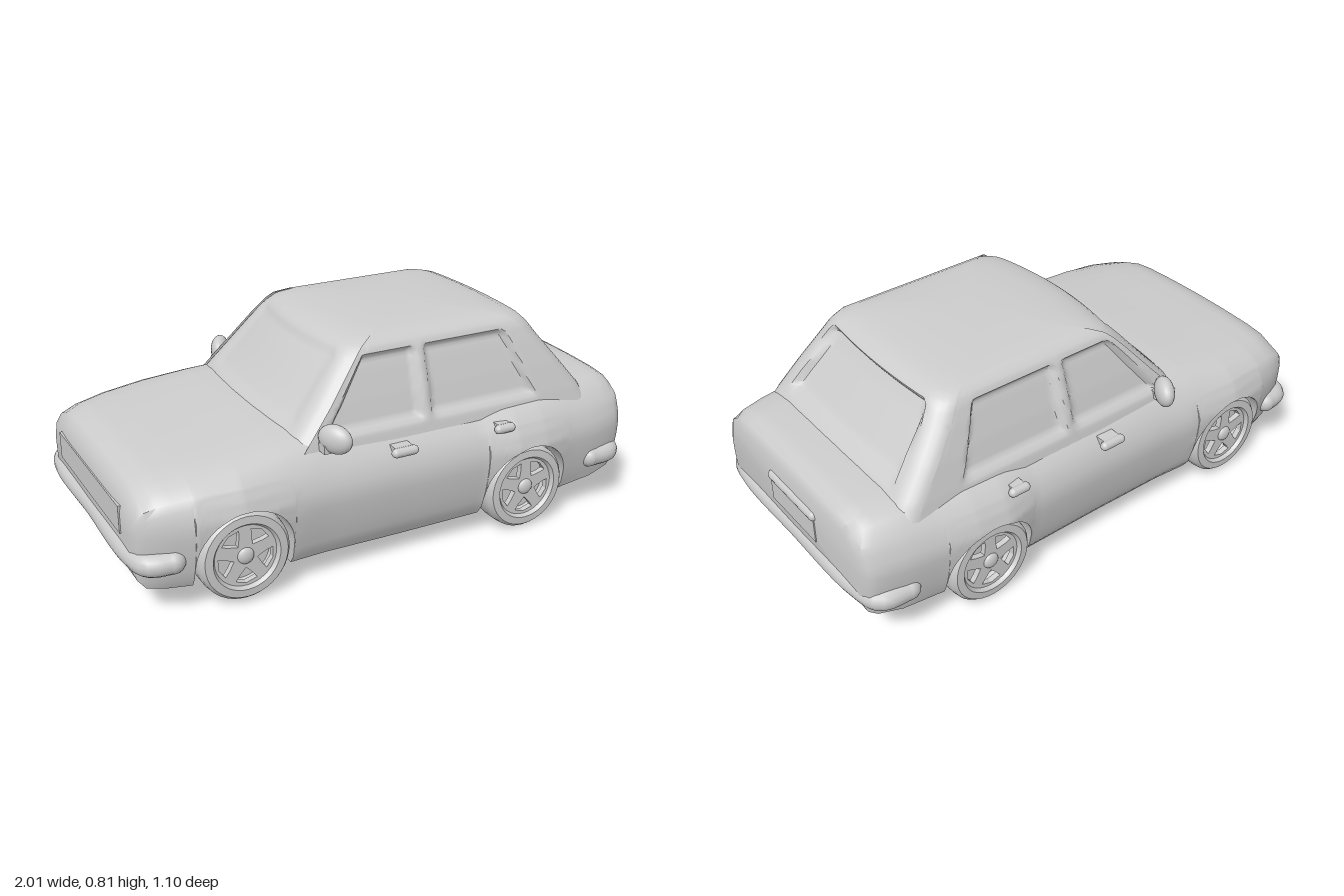
import * as THREE from 'three';
import { toCreasedNormals } from 'three/addons/utils/BufferGeometryUtils.js';

const mat = new THREE.MeshStandardMaterial({ color: 0xcccccc });
const FRONT = { x: -0.615, y: 0.18 }, REAR = { x: 0.515, y: 0.168 };
const ARCH = 0.176;

// Piecewise-linear lookup: rows of [key, value, value...]
function table(rows, k, col = 1) {
  let i = 0;
  while (i < rows.length - 2 && k > rows[i + 1][0]) i++;
  const a = rows[i], b = rows[i + 1];
  const t = THREE.MathUtils.clamp((k - a[0]) / (b[0] - a[0]), 0, 1);
  return a[col] + (b[col] - a[col]) * t;
}

// Skin closed rings of [x, y, z] and cap both ends
function loft(rings, crease) {
  const n = rings[0].length, pos = rings.flat(2), idx = [];
  for (let i = 0; i < rings.length - 1; i++) for (let j = 0; j < n; j++) {
    const a = i * n + j, b = i * n + (j + 1) % n;
    idx.push(a, b, a + n, b, b + n, a + n);
  }
  [0, rings.length - 1].forEach((r, end) => {
    const c = pos.length / 3;
    for (let k = 0; k < 3; k++) pos.push(rings[r].reduce((s, p) => s + p[k], 0) / n);
    for (let j = 0; j < n; j++) {
      const a = r * n + j, b = r * n + (j + 1) % n;
      idx.push(c, ...(end ? [a, b] : [b, a]));
    }
  });
  const g = new THREE.BufferGeometry();
  g.setAttribute('position', new THREE.Float32BufferAttribute(pos, 3));
  g.setIndex(idx);
  return toCreasedNormals(g, crease);
}

// Body stations: x, half width, top, floor
const BODY = [
  [-0.98, 0.41, 0.38, 0.18], [-0.965, 0.45, 0.425, 0.14], [-0.94, 0.47, 0.455, 0.11], [-0.88, 0.495, 0.475, 0.1],
  [-0.78, 0.525, 0.487, 0.1], [-0.62, 0.545, 0.502, 0.09], [-0.45, 0.53, 0.52, 0.09], [-0.3, 0.518, 0.53, 0.085],
  [0, 0.515, 0.52, 0.075], [0.33, 0.52, 0.51, 0.08], [0.45, 0.546, 0.51, 0.09], [0.58, 0.54, 0.515, 0.1],
  [0.72, 0.515, 0.52, 0.11], [0.85, 0.5, 0.517, 0.12], [0.94, 0.48, 0.51, 0.14], [0.97, 0.465, 0.495, 0.16], [0.985, 0.43, 0.46, 0.2],
];
// Side profile: height, share of the half width
const SIDE = [[0.07, 0.86], [0.12, 0.93], [0.2, 0.97], [0.28, 0.995], [0.34, 1], [0.39, 0.97], [0.44, 0.92]];

function bodySection(x) {
  const w = table(BODY, x), top = table(BODY, x, 2), floor = table(BODY, x, 3);
  let lip = floor;
  for (const c of [FRONT, REAR]) {
    const d = ARCH * ARCH - (x - c.x) ** 2;
    if (d >= -1e-9) lip = c.y + Math.sqrt(Math.max(d, 0));
  }
  const half = [[0, top], [0.3 * w, top - 0.002], [0.6 * w, top - 0.008], [0.76 * w, top - 0.018], [0.84 * w, top - 0.035]];
  const start = Math.min(0.43, top - 0.06);
  for (let i = 0; i <= 10; i++) {
    const y = start + (lip - start) * i / 10;
    half.push([w * table(SIDE, y), y]);
  }
  half.push([0.34, lip], [0.34, floor], [0, floor]);
  const back = half.slice(1, -1).reverse().map(([z, y]) => [-z, y]);
  return [...half, ...back].map(([z, y]) => [x, y, z]);
}

function bodyGeometry() {
  const xs = BODY.map(r => r[0]);
  for (let x = -0.9; x < 0.95; x += 0.05) xs.push(x);
  for (const c of [FRONT, REAR]) {
    for (let i = 0; i <= 24; i++) xs.push(c.x - ARCH * Math.cos(Math.PI * i / 24));
    xs.push(c.x - ARCH - 0.002, c.x + ARCH + 0.002);
  }
  return loft(xs.sort((a, b) => a - b).map(bodySection), 0.75);
}

// Cabin levels: y, windscreen x, rear glass x, half width
const CABIN = [
  [0.44, -0.47, 0.865, 0.46], [0.5, -0.42, 0.825, 0.447], [0.6, -0.33, 0.745, 0.42], [0.7, -0.245, 0.665, 0.387],
  [0.75, -0.2, 0.63, 0.367], [0.775, -0.17, 0.605, 0.35], [0.793, -0.12, 0.56, 0.315], [0.803, -0.05, 0.48, 0.25], [0.81, 0.05, 0.36, 0.14],
];
// Soft-edged window mask: 1 inside, 0 outside
const mask = (...d) => d.reduce((m, v) => m * THREE.MathUtils.smoothstep(v, 0, 0.028), 1);

function cabinSection(y) {
  const [xf, xr, w] = [1, 2, 3].map(c => table(CABIN, y, c));
  const r = Math.min(0.07, w * 0.4), half = [];
  // Half ring: windscreen centre, corner, side, corner, rear glass centre
  for (let i = 0; i < 16; i++) half.push([xf, (w - r) * i / 16]);
  for (let i = 0; i < 5; i++) {
    const a = Math.PI / 2 * i / 5;
    half.push([xf + r - r * Math.cos(a), w - r + r * Math.sin(a)]);
  }
  for (let i = 0; i < 60; i++) half.push([xf + r + (xr - xf - 2 * r) * i / 60, w]);
  for (let i = 0; i < 5; i++) {
    const a = Math.PI / 2 * i / 5;
    half.push([xr - r + r * Math.sin(a), w - r + r * Math.cos(a)]);
  }
  for (let i = 0; i <= 16; i++) half.push([xr, (w - r) * (1 - i / 16)]);
  const shaped = half.map(([x, z], i) => {
    const s = y - 0.5, tall = [y - 0.495, 0.757 - y];
    const side = Math.max(
      mask(x - (-0.3 + s * 0.75), 0.11 - x, ...tall),
      mask(x - 0.13, 0.585 - s * 0.4 - x, ...tall));
    const pane = mask(0.35 - s * 0.2 - z, y - 0.525, 0.765 - y);
    if (i >= 21 && i < 81) return [x, z - 0.026 * side];
    if (i < 21) return [x + 0.05 * (z / w) ** 2 + 0.012 * pane, z];
    return [x - 0.025 * (z / w) ** 2 - 0.035 * pane, z];
  });
  const back = shaped.slice(1, -1).reverse().map(([x, z]) => [x, -z]);
  return [...shaped, ...back].map(([x, z]) => [x, y, z]);
}

function cabinGeometry() {
  const ys = [];
  for (let i = 0; i <= 28; i++) ys.push(0.44 + 0.335 * i / 28);
  ys.push(0.785, 0.793, 0.799, 0.803, 0.81);
  return loft(ys.map(cabinSection), 0.8);
}

function mesh(name, geometry, parent, x = 0, y = 0, z = 0) {
  const m = new THREE.Mesh(geometry, mat);
  m.name = name;
  m.position.set(x, y, z);
  parent.add(m);
  return m;
}

// Tyre with dished rim and a five-spoke face, axis along z
function makeWheel(name) {
  const g = new THREE.Group();
  g.name = name;
  const profile = [[0, -0.06], [0.11, -0.06], [0.12, -0.072], [0.148, -0.07], [0.162, -0.055], [0.166, -0.02], [0.166, 0.025],
    [0.162, 0.055], [0.15, 0.07], [0.122, 0.072], [0.113, 0.06], [0.106, 0.015], [0, 0.015]];
  const tyre = new THREE.LatheGeometry(profile.map(p => new THREE.Vector2(...p)), 40).rotateX(Math.PI / 2);
  mesh('tyre', toCreasedNormals(tyre, 0.7), g);
  const face = new THREE.Shape().absarc(0, 0, 0.116, 0, Math.PI * 2);
  for (let i = 0; i < 5; i++) {
    const a = Math.PI / 2 + (i + 0.5) * Math.PI * 2 / 5;
    const at = (r, o) => new THREE.Vector2(r * Math.cos(a + o), r * Math.sin(a + o));
    face.holes.push(new THREE.Path([at(0.045, 0), at(0.075, 0.33), at(0.099, 0.4), at(0.103, 0), at(0.099, -0.4), at(0.075, -0.33)]));
  }
  mesh('spokes', new THREE.ExtrudeGeometry(face, { depth: 0.022, bevelEnabled: false, curveSegments: 20 }), g, 0, 0, 0.036);
  mesh('hub', new THREE.SphereGeometry(0.03, 16, 10).scale(1, 1, 0.5), g, 0, 0, 0.058);
  return g;
}

// Wrap-around bumper from half a path, with round ends
function addBumper(name, halfPath, radius, parent) {
  const g = new THREE.Group();
  g.name = name;
  const pts = [...halfPath, ...halfPath.slice(0, -1).reverse().map(([x, y, z]) => [x, y, -z])].map(p => new THREE.Vector3(...p));
  mesh('bumperBar', new THREE.TubeGeometry(new THREE.CatmullRomCurve3(pts), 60, radius, 14), g);
  for (const p of [pts[0], pts[pts.length - 1]]) mesh('bumperEnd', new THREE.SphereGeometry(radius, 14, 10), g, p.x, p.y, p.z);
  parent.add(g);
}

export function createModel() {
  const car = new THREE.Group();
  car.name = 'car';
  mesh('body', bodyGeometry(), car);
  mesh('cabin', cabinGeometry(), car);

  addBumper('frontBumper', [[-0.86, 0.215, 0.485], [-0.935, 0.212, 0.465], [-0.96, 0.21, 0.36], [-0.958, 0.21, 0]], 0.04, car);
  addBumper('rearBumper', [[0.83, 0.21, 0.475], [0.93, 0.21, 0.46], [0.958, 0.208, 0.35], [0.96, 0.205, 0]], 0.04, car);

  // Grille panel and number-plate hood
  mesh('grille', new THREE.BoxGeometry(0.02, 0.1, 0.66), car, -0.975, 0.325, 0);
  mesh('plateHood', new THREE.CapsuleGeometry(0.02, 0.27, 6, 12).rotateX(Math.PI / 2), car, 0.98, 0.378, -0.01);
  mesh('plate', new THREE.BoxGeometry(0.012, 0.1, 0.29), car, 0.983, 0.32, -0.01);

  for (const s of [1, -1]) {
    const sideName = s > 0 ? 'left' : 'right';
    for (const [c, end] of [[FRONT, 'Front'], [REAR, 'Rear']]) {
      const wheel = makeWheel(sideName + end + 'Wheel');
      wheel.position.set(c.x, c.y, s * 0.443);
      if (s < 0) wheel.rotation.y = Math.PI;
      car.add(wheel);
    }
    // Door mirrors on short stalks
    const mirror = mesh(sideName + 'Mirror', new THREE.SphereGeometry(1, 20, 14).scale(0.035, 0.052, 0.066), car, -0.275, 0.525, s * 0.492);
    mirror.rotation.y = s * 0.5;
    mesh(sideName + 'MirrorStalk', new THREE.BoxGeometry(0.05, 0.03, 0.08), car, -0.29, 0.49, s * 0.45);
    // Door handles
    for (const [x, len] of [[-0.015, 0.07], [0.4, 0.05]]) {
      mesh(sideName + 'DoorHandle', new THREE.CapsuleGeometry(0.017, len, 6, 12).rotateZ(Math.PI / 2), car, x, 0.432, s * 0.513);
      mesh(sideName + 'HandleMount', new THREE.BoxGeometry(len, 0.025, 0.06), car, x, 0.434, s * 0.482);
    }
    // Exhaust pipe
    mesh(sideName + 'Exhaust', new THREE.CapsuleGeometry(0.019, 0.13, 6, 12).rotateZ(Math.PI / 2 - 0.1), car, 0.855, 0.108, s * 0.26);
  }
  return car;
}
